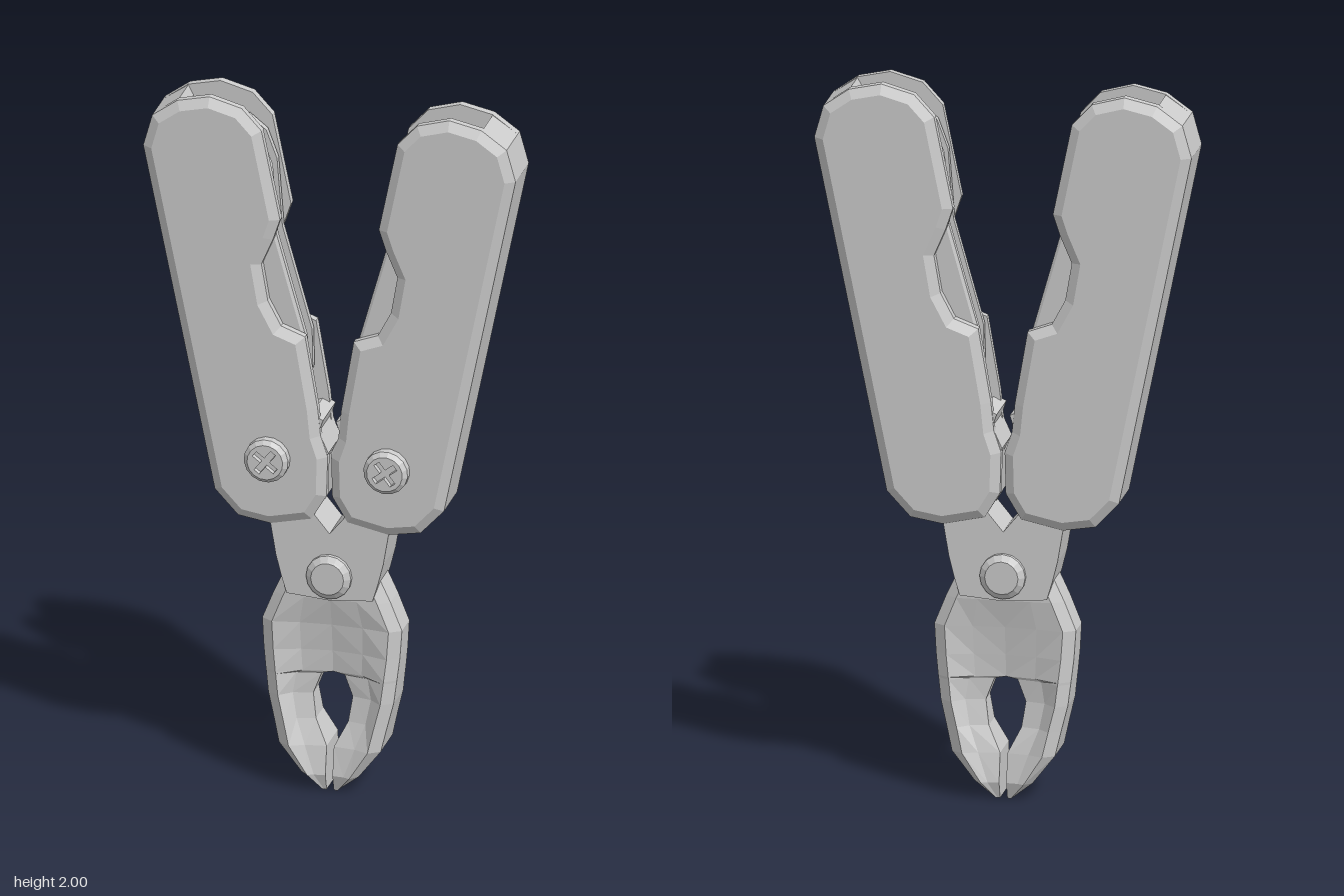
import * as THREE from 'three';

const material = new THREE.MeshStandardMaterial({ color: 0xcccccc, flatShading: true, side: THREE.DoubleSide });
const ZC = -0.016; // mid plane of the tool

function add(parent, name, geometry) {
  const mesh = new THREE.Mesh(geometry, material);
  mesh.name = name;
  parent.add(mesh);
  return mesh;
}

// Flat plate from an outline (mirrored by side), bevelled only on the face pointing along dir
function plate(points, side, zBase, thick, bevel, dir = 1) {
  const shape = new THREE.Shape(points.map(([x, y]) => new THREE.Vector2(x * side * dir, y)));
  const t = Math.min(bevel * 0.65, thick * 0.6);
  const g = new THREE.ExtrudeGeometry(shape, {
    depth: thick - t, bevelEnabled: true, bevelSegments: 1,
    bevelSize: bevel, bevelOffset: -bevel, bevelThickness: t,
  });
  const p = g.attributes.position;
  for (let i = 0; i < p.count; i++) if (p.getZ(i) < 0) p.setZ(i, 0);
  if (dir < 0) g.rotateY(Math.PI);
  g.translate(0, 0, zBase);
  g.computeVertexNormals();
  return g;
}

// Plain block between two depths
function block(points, side, z0, z1) {
  const shape = new THREE.Shape(points.map(([x, y]) => new THREE.Vector2(x * side, y)));
  return new THREE.ExtrudeGeometry(shape, { depth: z1 - z0, bevelEnabled: false }).translate(0, 0, z0);
}

const handleOutline = [
  [0.165, 0.77], [0.255, 0.785], [0.32, 0.855], [0.52, 1.84], [0.495, 1.93], [0.425, 1.98],
  [0.335, 2.0], [0.245, 1.975], [0.19, 1.915], [0.138, 1.66], [0.158, 1.6], [0.19, 1.525],
  [0.172, 1.42], [0.135, 1.35], [0.068, 1.325], [0.033, 1.12], [0.025, 1.04], [0.005, 0.98],
  [0.008, 0.865], [0.05, 0.795],
];
const spineOutline = [
  [0.165, 0.772], [0.255, 0.785], [0.32, 0.855], [0.52, 1.84], [0.495, 1.93], [0.425, 1.978],
  [0.41, 1.95], [0.45, 1.84], [0.27, 0.93], [0.235, 0.83], [0.165, 0.80],
];
const toolOutline = [
  [0.12, 1.08], [0.07, 1.2], [0.072, 1.31], [0.155, 1.605], [0.17, 1.8], [0.2, 1.88],
  [0.25, 1.92], [0.3, 1.9], [0.33, 1.8], [0.2, 1.08],
];
const midToolOutline = [
  [0.13, 1.08], [0.1, 1.2], [0.105, 1.32], [0.185, 1.65], [0.215, 1.8], [0.27, 1.86], [0.32, 1.8], [0.2, 1.08],
];
const tangOutline = [
  [0, 0.56], [0.12, 0.57], [0.135, 0.62], [0.15, 0.68], [0.165, 0.77], [0.24, 0.88], [0.25, 0.98],
  [0.2, 1.05], [0.05, 1.1], [0.018, 1.085], [0.03, 1.05], [0.003, 0.99], [0.04, 0.92], [0.045, 0.81], [0, 0.755],
];

// Jaw rows: height, inner x, outer x, half thickness at the rim, half thickness at the inner edge
const jawRows = [
  [0.62, 0, 0.135, 0.062, 0.062], [0.56, 0, 0.163, 0.062, 0.062], [0.48, 0, 0.195, 0.062, 0.045],
  [0.40, 0, 0.19, 0.065, 0.034], [0.337, 0, 0.183, 0.07, 0.028], [0.33, 0.032, 0.182, 0.07, 0.028],
  [0.27, 0.055, 0.175, 0.074, 0.03], [0.2, 0.045, 0.158, 0.08, 0.04], [0.13, 0.01, 0.142, 0.086, 0.06],
  [0.05, 0.01, 0.08, 0.085, 0.075], [0.003, 0.01, 0.025, 0.062, 0.06],
];

// Jaw lofted through scooped cross-sections
function jaw(side) {
  const rings = jawRows.map(([y, xi, xo, rim, inner]) => {
    const w = xo - xi;
    const half = [
      [xi, inner], [xi + w * 0.45, inner + (rim - inner) * 0.3],
      [xo - Math.min(0.032, w * 0.3), rim], [xo, rim - 0.022],
    ];
    const front = half.map(([x, z]) => [x * side, y, ZC + z]);
    const back = half.map(([x, z]) => [x * side, y, ZC - z]).reverse();
    return [...front, ...back];
  });
  const out = [];
  const tri = (a, b, c) => out.push(...a, ...(side > 0 ? [...b, ...c] : [...c, ...b]));
  for (let i = 0; i < rings.length - 1; i++) {
    for (let j = 0; j < 8; j++) {
      const k = (j + 1) % 8, r = rings[i], s = rings[i + 1];
      tri(r[j], s[j], s[k]);
      tri(r[j], s[k], r[k]);
    }
  }
  const first = rings[0], last = rings[rings.length - 1];
  for (let j = 1; j < 7; j++) {
    tri(first[0], first[j], first[j + 1]);
    tri(last[0], last[j + 1], last[j]);
  }
  const g = new THREE.BufferGeometry();
  g.setAttribute('position', new THREE.Float32BufferAttribute(out, 3));
  g.computeVertexNormals();
  return g;
}

// Screw head with a cross-shaped recess
function screw(parent, x, y, turn) {
  const group = new THREE.Group();
  group.name = 'screw';
  group.position.set(x, y, 0.065);
  group.rotation.z = turn;
  const rim = [];
  for (let i = 0; i < 16; i++) rim.push(new THREE.Vector2(Math.cos(i * Math.PI / 8), Math.sin(i * Math.PI / 8)).multiplyScalar(0.05));
  const cap = new THREE.Shape(rim);
  const a = 0.009, b = 0.037;
  const cross = [[a, a], [a, b], [-a, b], [-a, a], [-b, a], [-b, -a], [-a, -a], [-a, -b], [a, -b], [a, -a], [b, -a], [b, a]];
  cap.holes.push(new THREE.Path(cross.map(([u, v]) => new THREE.Vector2(u, v))));
  add(group, 'screwCap', new THREE.ExtrudeGeometry(cap, { depth: 0.02, bevelEnabled: false }).translate(0, 0, 0.02));
  const skirt = [[0, 0], [0.062, 0], [0.062, 0.028], [0.05, 0.04], [0.05, 0.024], [0, 0.024]].map(([u, v]) => new THREE.Vector2(u, v));
  add(group, 'screwBody', new THREE.LatheGeometry(skirt, 16).rotateX(Math.PI / 2));
  parent.add(group);
}

export function createModel() {
  const model = new THREE.Group();
  model.name = 'multiTool';

  for (const side of [1, -1]) {
    const label = side > 0 ? 'left' : 'right';

    // Handle: two bevelled plates joined along the outer edge
    const handle = new THREE.Group();
    handle.name = label + 'Handle';
    add(handle, 'frontPlate', plate(handleOutline, side, 0.033, 0.037, 0.026));
    add(handle, 'backPlate', plate(handleOutline, side, -0.065, 0.04, 0.026, -1));
    add(handle, 'spine', block(spineOutline, side, -0.066, 0.034));

    // Folded tools between the plates
    add(handle, 'frontTool', plate(toolOutline, side, 0.006, 0.024, 0.008));
    add(handle, 'middleTool', block(midToolOutline, side, -0.026, -0.006));
    add(handle, 'backTool', plate(toolOutline, side, -0.038, 0.024, 0.008, -1));
    screw(handle, side * 0.167, 0.967, side > 0 ? 0.65 : 0.9);
    model.add(handle);

    // Plier half
    add(model, label + 'Tang', block(tangOutline, side, ZC - 0.068, ZC + 0.068));
    add(model, label + 'Jaw', jaw(side));
  }

  // Pivot rivet
  const rivet = [[0, -0.094], [0.046, -0.094], [0.05, -0.09], [0.063, -0.08], [0.063, 0.08], [0.05, 0.09], [0.046, 0.094], [0, 0.094]]
    .map(([u, v]) => new THREE.Vector2(u, v));
  const pivot = add(model, 'pivot', new THREE.LatheGeometry(rivet, 16).rotateX(Math.PI / 2));
  pivot.position.set(0, 0.632, ZC);
  return model;
}
